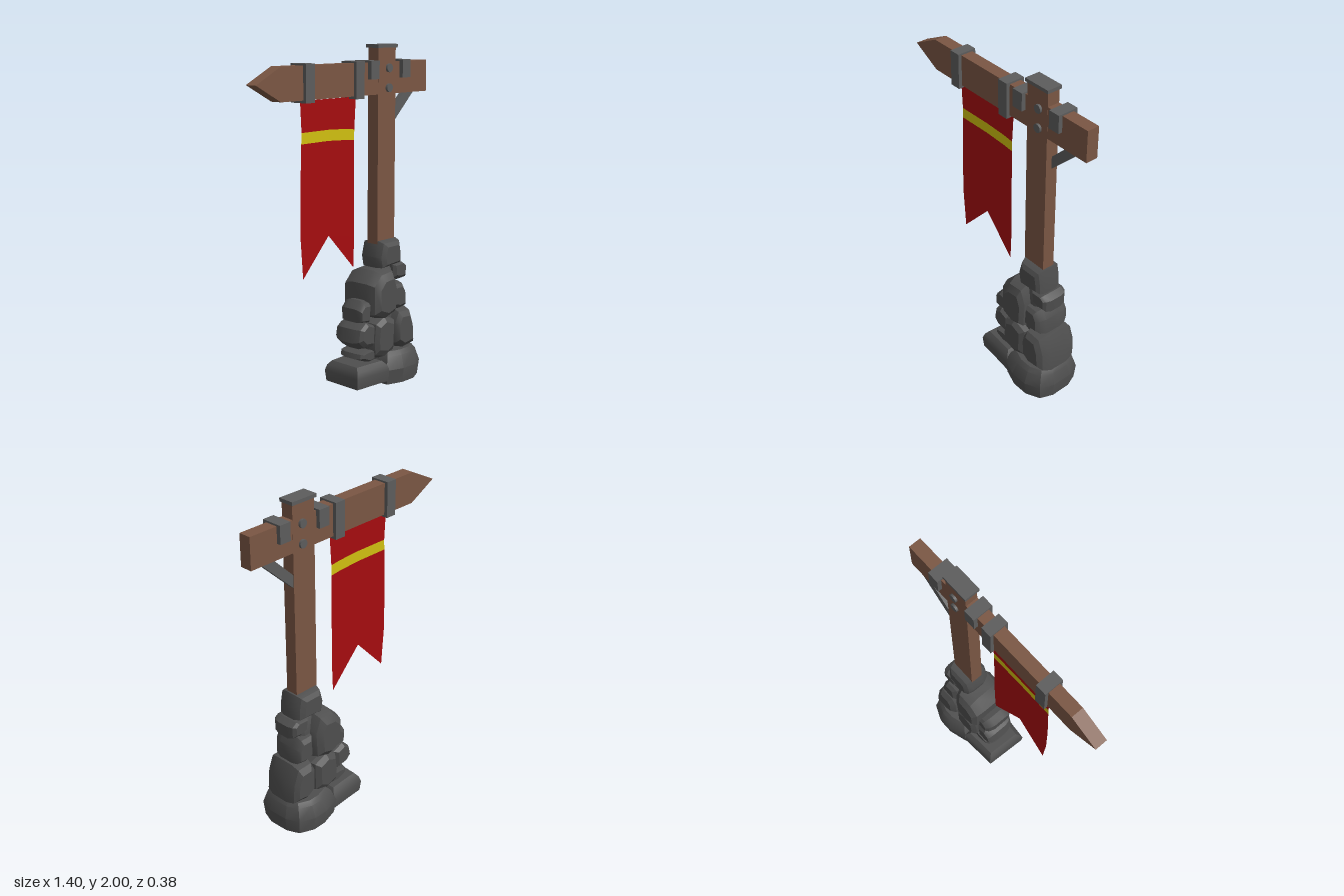
import * as THREE from 'three';
import { toCreasedNormals } from 'three/addons/utils/BufferGeometryUtils.js';

const material = (name, color, side = THREE.FrontSide) => {
  const m = new THREE.MeshStandardMaterial({ color, side });
  m.name = name;
  return m;
};

// Loft a counter-clockwise outline through rings of [depth, scale, shiftX, shiftY], closed with fans.
function loft(outline, rings) {
  const n = outline.length;
  const cx = outline.reduce((s, p) => s + p[0], 0) / n;
  const cy = outline.reduce((s, p) => s + p[1], 0) / n;
  const pts = [], index = [];
  for (const [t, s, dx = 0, dy = 0] of rings) {
    for (const [x, y] of outline) pts.push(cx + (x - cx) * s + dx, cy + (y - cy) * s + dy, t);
  }
  for (let k = 0; k < rings.length - 1; k++) {
    for (let i = 0; i < n; i++) {
      const j = (i + 1) % n, a = k * n + i, b = k * n + j;
      index.push(a, b, b + n, a, b + n, a + n);
    }
  }
  const last = (rings.length - 1) * n, c = rings.length * n;
  pts.push(cx, cy, rings[0][0], cx, cy, rings[rings.length - 1][0]);
  for (let i = 0; i < n; i++) {
    const j = (i + 1) % n;
    index.push(c, j, i, c + 1, last + i, last + j);
  }
  const g = new THREE.BufferGeometry();
  g.setAttribute('position', new THREE.Float32BufferAttribute(pts, 3));
  g.setIndex(index);
  return g;
}

export function createModel() {
  const model = new THREE.Group();
  model.name = 'bannerSignpost';
  const wood = material('wood', 0x7a5643);
  const iron = material('iron', 0x5c5c5c);
  const stone = material('stone', 0x4e4e4e);
  const red = material('redCloth', 0xa50c0f, THREE.DoubleSide);
  const yellow = material('yellowCloth', 0xd0bf10, THREE.DoubleSide);

  const add = (name, geometry, mat) => {
    const mesh = new THREE.Mesh(geometry, mat);
    mesh.name = name;
    model.add(mesh);
    return mesh;
  };
  const box = (name, mat, x0, x1, y0, y1, z0, z1) =>
    add(name, new THREE.BoxGeometry(x1 - x0, y1 - y0, z1 - z0), mat)
      .position.set((x0 + x1) / 2, (y0 + y1) / 2, (z0 + z1) / 2);
  const shape = (points) => new THREE.Shape(points.map(([x, y]) => new THREE.Vector2(x, y)));
  const slab = (points, z0, z1) =>
    new THREE.ExtrudeGeometry(shape(points), { depth: z1 - z0, bevelEnabled: false }).translate(0, 0, z0);

  // Post, cap and pointed cross beam
  box('post', wood, 0.255, 0.41, 0.78, 1.985, -0.038, 0.038);
  box('postCap', iron, 0.245, 0.417, 1.98, 2.0, -0.047, 0.047);
  add('beam', slab([[-0.705, 1.81], [-0.525, 1.715], [0.7, 1.715], [0.7, 1.9], [-0.525, 1.9]], -0.037, 0.037), wood);

  // Iron straps around the beam and short clips over it
  for (const x of [-0.325, 0.08]) box('strap', iron, x - 0.034, x + 0.034, 1.7, 1.91, -0.058, 0.058);
  for (const x of [0.203, 0.483]) box('clip', iron, x - 0.036, x + 0.036, 1.805, 1.91, -0.062, 0.062);

  // Bolts through the joint
  for (const y of [1.75, 1.864]) {
    const bolt = add('bolt', new THREE.CylinderGeometry(0.025, 0.025, 0.104, 10), iron);
    bolt.rotation.x = Math.PI / 2;
    bolt.position.set(0.345, y, 0);
  }

  // Diagonal brace
  add('brace', slab([[0.41, 1.515], [0.625, 1.717], [0.54, 1.717], [0.41, 1.59]], -0.034, 0), iron);

  // Swallow-tailed banner with a gently bowed stripe
  const upper = [[0.092, 1.525], [0.02, 1.533], [-0.125, 1.539], [-0.337, 1.537]];
  const lower = [[0.09, 1.463], [0.02, 1.47], [-0.125, 1.477], [-0.34, 1.475]];
  const cloth = (name, points, mat) => add(name, new THREE.ShapeGeometry(shape(points)), mat);
  cloth('bannerTop', [[-0.347, 1.71], ...[...upper].reverse(), [0.104, 1.71]], red);
  cloth('bannerStripe', [...lower].reverse().concat(upper), yellow);
  cloth('bannerTail', [...lower, [-0.35, 1.2], [-0.35, 0.95], [-0.332, 0.722],
    [-0.125, 0.94], [0.085, 0.722], [0.092, 0.9], [0.092, 1.2]], red);

  // Two broad foundation stones, lofted upward from their footprints
  const baseStones = [
    { outline: [[-0.022, -0.13], [0.1, -0.14], [0.24, -0.155], [0.24, 0.155], [0.1, 0.145], [-0.01, 0.14]],
      rings: [[0.025, 0.95], [0.09, 1], [0.125, 0.92], [0.15, 0.76]] },
    { outline: [[0.22, -0.15], [0.33, -0.187], [0.44, -0.187], [0.53, -0.145], [0.56, -0.06],
      [0.555, 0.07], [0.52, 0.15], [0.43, 0.19], [0.34, 0.19], [0.22, 0.155]],
      rings: [[0, 0.94], [0.09, 1], [0.165, 0.86], [0.19, 0.74]] },
  ];
  for (const { outline, rings } of baseStones) {
    add('baseStone', toCreasedNormals(loft(outline, rings).rotateX(-Math.PI / 2), 0.5), stone);
  }

  // Stacked stones: front outline and half depth
  const stones = [
    [[[0.16, 0.17], [0.27, 0.14], [0.345, 0.18], [0.35, 0.38], [0.25, 0.42], [0.165, 0.38], [0.15, 0.26]], 0.125],
    [[[0.34, 0.22], [0.41, 0.175], [0.53, 0.19], [0.52, 0.32], [0.48, 0.425], [0.37, 0.43], [0.335, 0.36]], 0.135],
    [[[0.135, 0.43], [0.24, 0.39], [0.34, 0.42], [0.35, 0.6], [0.31, 0.7], [0.2, 0.69], [0.13, 0.62]], 0.135],
    [[[0.33, 0.44], [0.4, 0.42], [0.47, 0.43], [0.465, 0.53], [0.43, 0.59], [0.34, 0.59]], 0.11],
    [[[0.36, 0.61], [0.42, 0.595], [0.485, 0.6], [0.488, 0.68], [0.45, 0.705], [0.35, 0.7]], 0.085],
    [[[0.25, 0.69], [0.44, 0.705], [0.435, 0.78], [0.42, 0.855], [0.26, 0.855], [0.235, 0.76]], 0.09],
    [[[0.06, 0.4], [0.16, 0.39], [0.17, 0.52], [0.1, 0.525], [0.055, 0.48]], 0.09],
    [[[0.03, 0.28], [0.08, 0.235], [0.17, 0.225], [0.18, 0.37], [0.1, 0.4], [0.045, 0.36]], 0.1],
    [[[0.05, 0.18], [0.14, 0.145], [0.2, 0.15], [0.2, 0.22], [0.12, 0.22], [0.06, 0.21]], 0.095],
    [[[0.22, 0.1], [0.44, 0.1], [0.43, 0.5], [0.4, 0.72], [0.25, 0.72]], 0.07],
  ];
  stones.forEach(([outline, d], i) => {
    const w = 0.012 * Math.sin(i * 2.4), v = 0.012 * Math.cos(i * 1.7);
    const rings = [[-d, 0.62, w, v], [-d * 0.8, 0.88, w / 2, v / 2], [-d * 0.4, 1],
      [d * 0.45, 1], [d * 0.82, 0.88, -w / 2, v / 2], [d, 0.64, -w, v]];
    add('stone', toCreasedNormals(loft(outline, rings), 0.5), stone);
  });

  return model;
}
